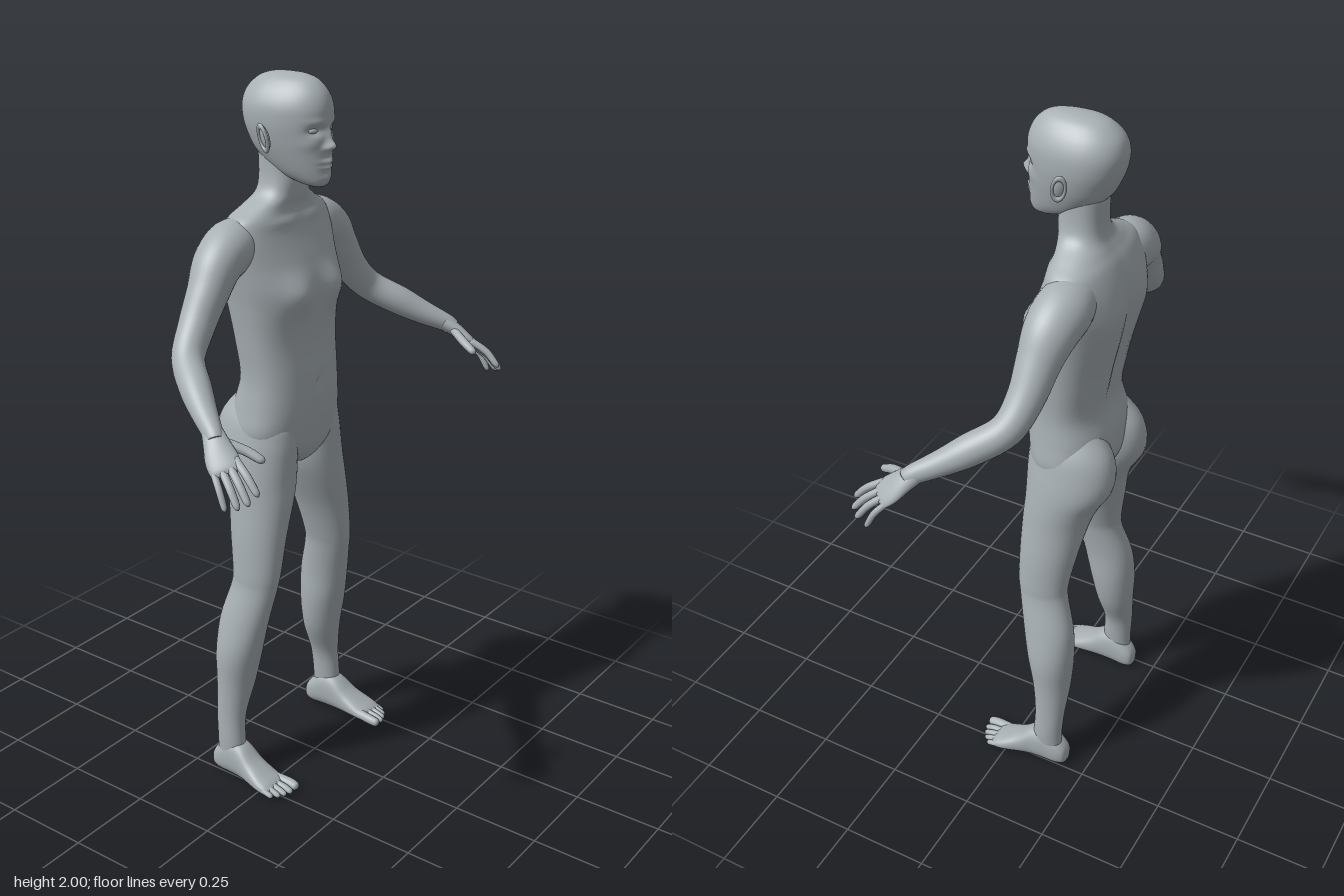
import * as THREE from 'three';

const skinGrey = new THREE.MeshStandardMaterial({ color: 0xa8b0b4 });
skinGrey.name = 'skinGrey';

// Smoothly resample rows of numbers (Catmull-Rom on every column)
function resample(rows, steps) {
  const out = [];
  const cr = (a, b, c, d, t) => 0.5 * (2 * b + (c - a) * t
    + (2 * a - 5 * b + 4 * c - d) * t * t + (3 * b - a - 3 * c + d) * t * t * t);
  for (let i = 0; i < rows.length - 1; i++) {
    const a = rows[Math.max(i - 1, 0)], b = rows[i], c = rows[i + 1];
    const d = rows[Math.min(i + 2, rows.length - 1)];
    for (let s = 0; s < steps; s++) out.push(b.map((_, k) => cr(a[k], b[k], c[k], d[k], s / steps)));
  }
  out.push(rows[rows.length - 1]);
  return out;
}

// Skin closed rings of points into a smooth capped mesh, facing outward
function skin(name, rings, mirror = 1) {
  const n = rings[0].length, pos = [], idx = [];
  rings.forEach(r => r.forEach(p => pos.push(p.x * mirror, p.y, p.z)));
  for (let i = 0; i < rings.length - 1; i++) {
    for (let j = 0; j < n; j++) {
      const a = i * n + j, b = i * n + (j + 1) % n;
      idx.push(a, b, a + n, b, b + n, a + n);
    }
  }
  [0, rings.length - 1].forEach((r, end) => {
    const c = rings[r].reduce((s, p) => s.add(p), new THREE.Vector3()).divideScalar(n);
    const k = pos.length / 3;
    pos.push(c.x * mirror, c.y, c.z);
    for (let j = 0; j < n; j++) {
      const a = r * n + j, b = r * n + (j + 1) % n;
      if (end) idx.push(a, b, k); else idx.push(b, a, k);
    }
  });
  // Signed volume tells whether the corners need reversing
  let vol = 0;
  const P = i => new THREE.Vector3(pos[3 * i], pos[3 * i + 1], pos[3 * i + 2]);
  for (let i = 0; i < idx.length; i += 3) vol += P(idx[i]).dot(P(idx[i + 1]).cross(P(idx[i + 2])));
  if (vol < 0) idx.reverse();
  const g = new THREE.BufferGeometry();
  g.setAttribute('position', new THREE.Float32BufferAttribute(pos, 3));
  g.setIndex(idx);
  g.computeVertexNormals();
  const mesh = new THREE.Mesh(g, skinGrey);
  mesh.name = name;
  return mesh;
}

// Rings from sections [position, centreX, halfWidth, far, near] stacked along y or z.
// Bumps [side, x, y, sizeX, sizeY, amount] sculpt the front (1) or back (-1).
function sections(rows, { axis = 'y', n = 48, power = 2, steps = 5, widest = 0.5, bumps = [] } = {}) {
  return resample(rows, steps).map(([t, cx, w, far, near]) => {
    const mid = near + (far - near) * widest, ring = [];
    for (let j = 0; j < n; j++) {
      const a = j / n * Math.PI * 2, c = Math.cos(a), s = Math.sin(a);
      const x = cx + w * Math.sign(c) * Math.abs(c) ** (2 / power);
      let d = mid + (s > 0 ? far - mid : mid - near) * Math.sign(s) * Math.abs(s) ** (2 / power);
      for (const [side, bx, by, sx, sy, amount] of bumps) {
        const weight = Math.min(1, Math.max(0, s * side) * 1.6);
        d += side * weight * amount * Math.exp(-(((Math.abs(x) - bx) / sx) ** 2) - ((t - by) / sy) ** 2);
      }
      ring.push(axis === 'y' ? new THREE.Vector3(x, t, d) : new THREE.Vector3(x, d, t));
    }
    return ring;
  });
}

// Rings along a path of [x, y, z, radiusU, radiusV]; U points along the given direction
function limb(path, dir, n = 24, steps = 5) {
  const rows = resample(path, steps);
  const at = r => new THREE.Vector3(r[0], r[1], r[2]);
  return rows.map((r, i) => {
    const tan = at(rows[Math.min(i + 1, rows.length - 1)]).sub(at(rows[Math.max(i - 1, 0)])).normalize();
    const u = new THREE.Vector3(...dir).addScaledVector(tan, -tan.dot(new THREE.Vector3(...dir))).normalize();
    const v = tan.clone().cross(u);
    return Array.from({ length: n }, (_, j) => {
      const a = j / n * Math.PI * 2;
      return at(r).addScaledVector(u, r[3] * Math.cos(a)).addScaledVector(v, r[4] * Math.sin(a));
    });
  });
}

// Rounded finger or toe through three points
function digit(a, b, c, r) {
  const mix = (p, q, t) => p.map((v, i) => v + (q[i] - v) * t);
  return limb([[...a, r, r], [...b, r, r], [...mix(b, c, 0.7), r * 0.9, r * 0.9],
    [...mix(b, c, 0.92), r * 0.62, r * 0.62], [...c, r * 0.12, r * 0.12]], [1, 0.2, -0.3], 12, 4);
}

export function createModel() {
  const body = new THREE.Group();
  body.name = 'humanFigure';

  // Torso and neck
  body.add(skin('torso', sections([
    [0.935, 0, 0.02, -0.04, -0.12], [0.96, 0, 0.08, -0.012, -0.17], [1.0, 0, 0.15, 0.004, -0.2],
    [1.05, 0, 0.175, 0.012, -0.214], [1.12, 0, 0.166, 0.02, -0.212], [1.2, 0, 0.157, 0.018, -0.192],
    [1.3, 0, 0.163, 0.01, -0.205], [1.4, 0, 0.174, 0.014, -0.225], [1.46, 0, 0.183, 0.012, -0.234],
    [1.52, 0, 0.192, -0.008, -0.237], [1.58, 0, 0.198, -0.032, -0.226], [1.63, 0, 0.18, -0.048, -0.205],
    [1.66, 0, 0.13, -0.052, -0.185], [1.69, 0, 0.08, -0.045, -0.168], [1.73, 0, 0.063, -0.04, -0.163],
    [1.8, 0, 0.06, -0.045, -0.165]], {
    n: 72, power: 2.3, bumps: [
      [1, 0.08, 1.435, 0.055, 0.05, 0.022], [1, 0, 1.18, 0.012, 0.012, -0.008],
      [-1, 0, 1.35, 0.022, 0.2, -0.014], [-1, 0.095, 1.5, 0.05, 0.07, 0.01],
      [1, 0.05, 1.625, 0.06, 0.012, 0.006]],
  })));

  // Head with nose, brow, eye sockets, lips and chin
  body.add(skin('head', sections([
    [1.718, 0, 0.018, 0.03, -0.01], [1.728, 0, 0.036, 0.04, -0.05], [1.755, 0, 0.056, 0.044, -0.12],
    [1.8, 0, 0.074, 0.045, -0.172], [1.84, 0, 0.085, 0.044, -0.195], [1.88, 0, 0.091, 0.046, -0.209],
    [1.92, 0, 0.089, 0.046, -0.212], [1.955, 0, 0.074, 0.034, -0.2], [1.983, 0, 0.05, 0.008, -0.17],
    [1.996, 0, 0.027, -0.025, -0.135], [2.0, 0, 0.006, -0.06, -0.09]], {
    n: 112, steps: 10, widest: 0.42, power: 2.1, bumps: [
      [1, 0, 1.825, 0.011, 0.014, 0.022], [1, 0, 1.85, 0.009, 0.022, 0.01], [1, 0.014, 1.82, 0.007, 0.007, 0.008],
      [1, 0.035, 1.864, 0.018, 0.012, -0.014], [1, 0.035, 1.887, 0.024, 0.008, 0.003],
      [1, 0, 1.785, 0.02, 0.005, 0.01], [1, 0, 1.772, 0.017, 0.005, 0.009], [1, 0, 1.778, 0.022, 0.002, -0.005],
      [1, 0, 1.742, 0.018, 0.01, 0.005], [1, 0.05, 1.83, 0.018, 0.016, 0.004]],
  })));

  const wristToPalm = [0.72, -0.4, -0.56];
  for (const side of [1, -1]) {
    const label = side > 0 ? 'left' : 'right';
    const add = (part, rings) => body.add(skin(label + part, rings, side));

    // Ear: shell with a raised rim
    const ear = new THREE.Group();
    ear.name = label + 'Ear';
    const shell = new THREE.Mesh(new THREE.SphereGeometry(1, 20, 14), skinGrey);
    shell.scale.set(0.009, 0.032, 0.017);
    const rim = new THREE.Mesh(new THREE.TorusGeometry(0.02, 0.005, 10, 28), skinGrey);
    rim.rotation.y = Math.PI / 2;
    rim.scale.set(0.8, 1.6, 1);
    rim.position.x = side * 0.006;
    ear.add(shell, rim);
    ear.position.set(side * 0.099, 1.846, -0.083);
    ear.rotation.set(-0.15, side * 0.35, side * -0.15);
    body.add(ear);

    // Eye
    const eye = new THREE.Mesh(new THREE.SphereGeometry(1, 20, 12), skinGrey);
    eye.name = label + 'Eye';
    eye.scale.set(0.014, 0.007, 0.008);
    eye.position.set(side * 0.035, 1.864, 0.021);
    eye.rotation.y = side * 0.35;
    body.add(eye);

    // Arm from inside the shoulder to the wrist
    add('Arm', limb([
      [0.1, 1.575, -0.14, 0.055, 0.06], [0.17, 1.568, -0.14, 0.074, 0.072], [0.235, 1.537, -0.135, 0.07, 0.065],
      [0.285, 1.475, -0.128, 0.057, 0.055], [0.34, 1.4, -0.122, 0.048, 0.048], [0.4, 1.335, -0.1, 0.043, 0.043],
      [0.455, 1.287, -0.03, 0.042, 0.041], [0.495, 1.251, 0.03, 0.034, 0.034], [0.53, 1.222, 0.085, 0.027, 0.025],
      [0.54, 1.208, 0.1, 0.026, 0.022]], [0, 0.7, 0.7], 32));

    // Hand and fingers
    add('Palm', limb([
      [0.525, 1.226, 0.078, 0.026, 0.023], [0.545, 1.2, 0.11, 0.034, 0.02], [0.559, 1.177, 0.135, 0.041, 0.017],
      [0.57, 1.157, 0.158, 0.04, 0.013], [0.575, 1.149, 0.167, 0.03, 0.007]], wristToPalm));
    const tips = [[0.562, 1.108, 0.25], [0.588, 1.09, 0.242], [0.604, 1.08, 0.222], [0.612, 1.07, 0.188]];
    tips.forEach((tip, i) => {
      const k = (i - 1.5) * 0.02;
      const root = [0.564, 1.166, 0.147].map((v, a) => v + wristToPalm[a] * k);
      const joint = root.map((v, a) => (v + tip[a]) / 2 + [0.004, 0.007, 0.003][a]);
      add('Finger' + (i + 1), digit(root, joint, tip, i === 3 ? 0.009 : 0.0105));
    });
    add('Thumb', digit([0.527, 1.205, 0.115], [0.502, 1.185, 0.165], [0.488, 1.163, 0.212], 0.0125));

    // Leg with buttock, thigh, knee and calf
    add('Leg', sections([
      [1.15, 0.085, 0.045, -0.06, -0.18], [1.09, 0.09, 0.076, -0.01, -0.232], [1.03, 0.095, 0.088, 0, -0.25],
      [0.97, 0.102, 0.093, 0, -0.243], [0.91, 0.109, 0.092, 0, -0.21], [0.85, 0.122, 0.083, 0.002, -0.188],
      [0.75, 0.148, 0.068, 0, -0.168], [0.65, 0.166, 0.056, -0.003, -0.152], [0.6, 0.173, 0.052, -0.01, -0.154],
      [0.5, 0.19, 0.058, -0.03, -0.18], [0.4, 0.2, 0.066, -0.05, -0.186], [0.3, 0.207, 0.057, -0.07, -0.182],
      [0.2, 0.227, 0.038, -0.085, -0.175], [0.12, 0.233, 0.034, -0.083, -0.17], [0.05, 0.234, 0.03, -0.08, -0.17]],
    { n: 40 }));

    // Foot and toes
    add('Foot', sections([
      [-0.19, 0.228, 0.012, 0.045, 0.015], [-0.183, 0.228, 0.026, 0.065, 0.005], [-0.16, 0.229, 0.035, 0.09, 0],
      [-0.12, 0.231, 0.038, 0.12, 0], [-0.08, 0.233, 0.039, 0.108, 0], [-0.04, 0.237, 0.043, 0.074, 0],
      [0, 0.241, 0.048, 0.05, 0], [0.03, 0.242, 0.047, 0.035, 0], [0.045, 0.24, 0.04, 0.024, 0.005]],
    { axis: 'z', n: 32, power: 2.4 }));
    const toes = [[0.205, 0.092, 0.0145], [0.23, 0.09, 0.01], [0.249, 0.083, 0.0095], [0.266, 0.073, 0.009], [0.281, 0.058, 0.009]];
    toes.forEach(([x, z, r], i) => {
      const bend = (0.243 - x) * 0.12;
      add('Toe' + (i + 1), digit([x + bend, 0.022, 0.005], [x, 0.019, z - 0.035], [x, r, z], r));
    });
  }
  return body;
}
